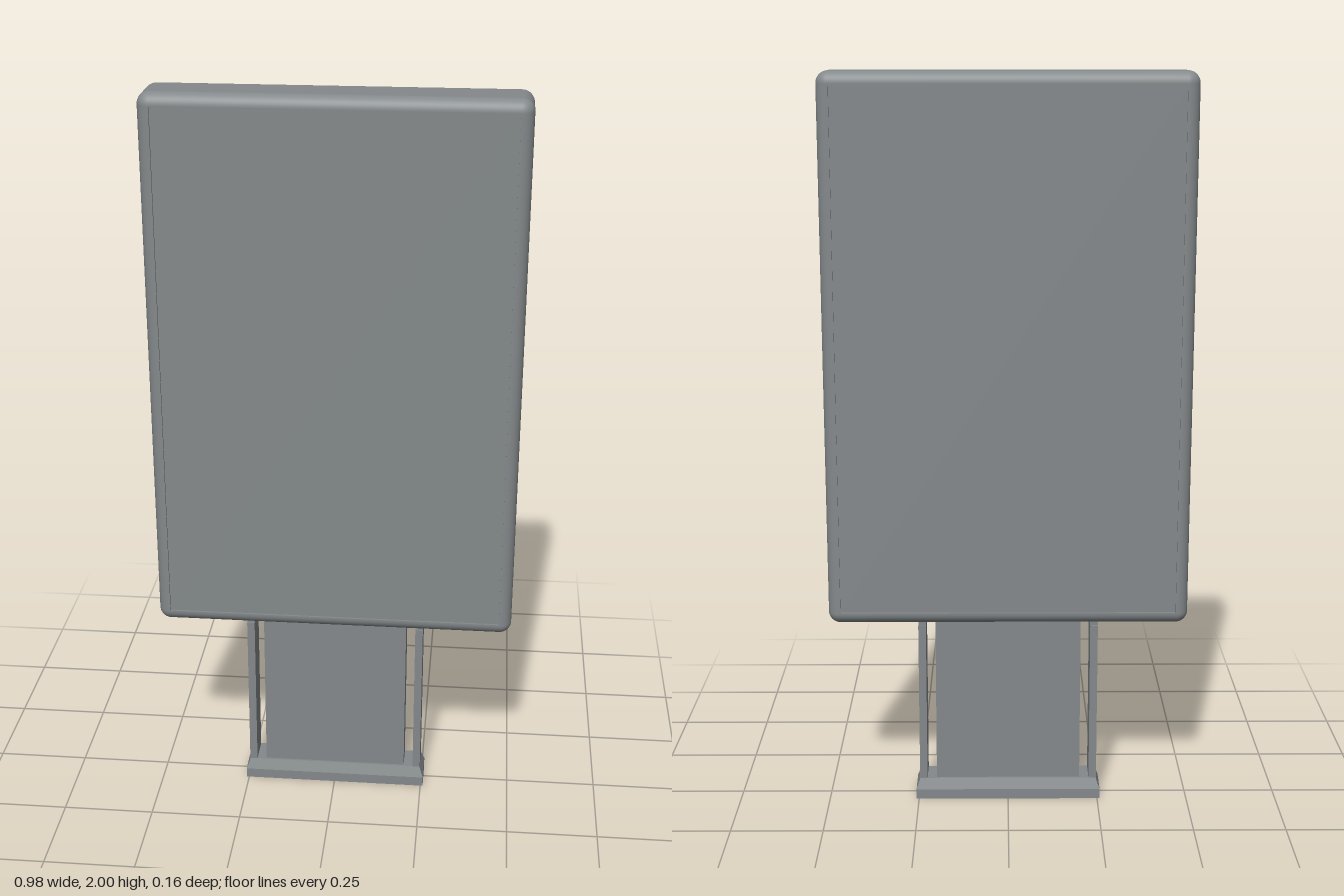
import * as THREE from 'three';

const W = 0.49, D = 0.08, Y0 = 0.525, Y1 = 2, R = 0.032;

// Rounded rim of the sign: an eighth-sphere at each corner, stretched into a closed band
function rimGeometry(seg = 8) {
  const cx = W - R, cy = (Y1 - Y0) / 2 - R, cz = D - R;
  const pos = [], nor = [], idx = [];
  const rows = 2 * (seg + 1), cols = 4 * (seg + 1);
  for (let c = 0; c < 4; c++) {
    const sx = c === 0 || c === 3 ? 1 : -1, sy = c < 2 ? 1 : -1;
    for (let i = 0; i <= seg; i++) {
      const t = (c + i / seg) * Math.PI / 2;
      for (let j = 0; j < rows; j++) {
        const back = j <= seg;
        const p = (back ? j / seg - 1 : (j - seg - 1) / seg) * Math.PI / 2;
        const n = [Math.cos(t) * Math.cos(p), Math.sin(t) * Math.cos(p), Math.sin(p)];
        nor.push(...n);
        pos.push(sx * cx + R * n[0], sy * cy + R * n[1], (back ? -cz : cz) + R * n[2]);
      }
    }
  }
  for (let i = 0; i < cols; i++) {
    const a = i * rows, b = ((i + 1) % cols) * rows;
    for (let j = 0; j < rows - 1; j++) {
      idx.push(a + j, b + j, b + j + 1, a + j, b + j + 1, a + j + 1);
    }
  }
  const g = new THREE.BufferGeometry();
  g.setAttribute('position', new THREE.Float32BufferAttribute(pos, 3));
  g.setAttribute('normal', new THREE.Float32BufferAttribute(nor, 3));
  g.setIndex(idx);
  return g;
}

export function createModel() {
  const grey = new THREE.MeshStandardMaterial({ color: 0x84898b });
  grey.name = 'grey metal';
  const model = new THREE.Group();
  model.name = 'signStand';

  const add = (parent, name, geometry, x = 0, y = 0, z = 0) => {
    const mesh = new THREE.Mesh(geometry, grey);
    mesh.name = name;
    mesh.position.set(x, y, z);
    parent.add(mesh);
    return mesh;
  };
  const box = (parent, name, x0, x1, y0, y1, halfZ) =>
    add(parent, name, new THREE.BoxGeometry(x1 - x0, y1 - y0, 2 * halfZ), (x0 + x1) / 2, (y0 + y1) / 2);

  // Sign head with a slightly recessed display face on both sides
  const head = new THREE.Group();
  head.name = 'signHead';
  head.position.y = (Y0 + Y1) / 2;
  model.add(head);
  add(head, 'rim', rimGeometry());
  const fw = 2 * (W - R), fh = Y1 - Y0 - 2 * R, recess = 0.006, trim = 0.002;
  for (const side of [1, -1]) {
    const face = new THREE.Group();
    face.name = side > 0 ? 'frontFace' : 'backFace';
    face.rotation.y = side > 0 ? 0 : Math.PI;
    head.add(face);
    add(face, 'displayPanel', new THREE.PlaneGeometry(fw, fh), 0, 0, D - recess);
    for (const s of [1, -1]) {
      add(face, 'sideTrim', new THREE.BoxGeometry(trim, fh, recess), s * (fw - trim) / 2, 0, D - recess / 2);
      add(face, 'endTrim', new THREE.BoxGeometry(fw, trim, recess), 0, s * (fh - trim) / 2, D - recess / 2);
    }
  }

  // Pedestal: central slab with a slim rail beyond an open slot on each side
  const pedestal = new THREE.Group();
  pedestal.name = 'pedestal';
  model.add(pedestal);
  box(pedestal, 'centralSlab', -0.2, 0.2, 0.05, 0.54, 0.034);
  for (const s of [1, -1]) {
    const [a, b] = s > 0 ? [0.226, 0.247] : [-0.247, -0.226];
    box(pedestal, 'sideRail', a, b, 0.05, 0.508, 0.04);
    box(pedestal, 'railNeck', a, b, 0.508, 0.54, 0.034);
  }

  // Foot: plinth with a sloped shoulder
  box(model, 'footPlinth', -0.257, 0.257, 0, 0.028, 0.051);
  const shoulder = new THREE.BoxGeometry(0.514, 0.03, 0.102);
  const p = shoulder.attributes.position;
  for (let i = 0; i < p.count; i++) {
    if (p.getY(i) > 0) {
      p.setX(i, Math.sign(p.getX(i)) * 0.246);
      p.setZ(i, Math.sign(p.getZ(i)) * 0.04);
    }
  }
  shoulder.computeVertexNormals();
  add(model, 'footShoulder', shoulder, 0, 0.043);

  return model;
}
